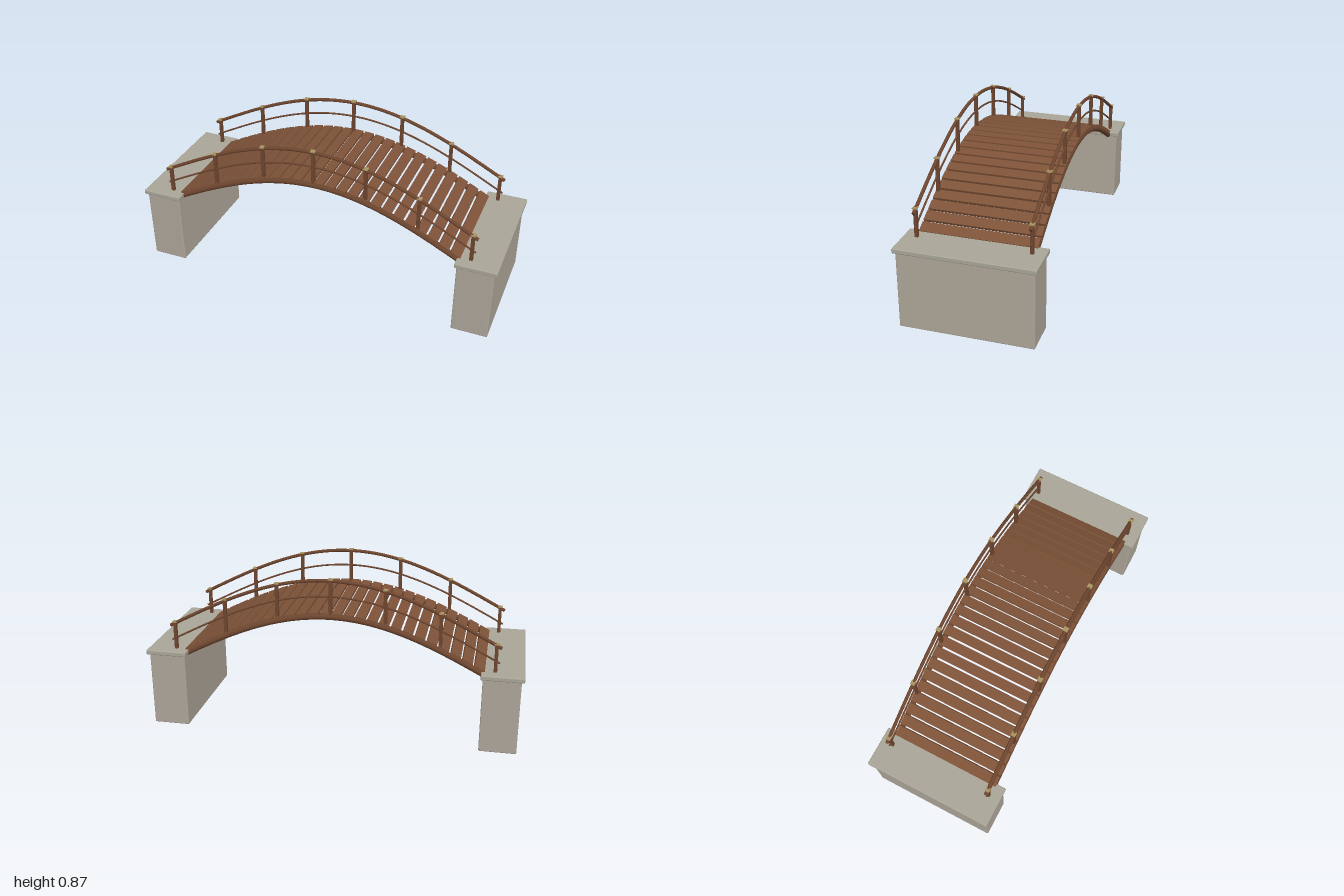
import * as THREE from 'three';
import { RoundedBoxGeometry } from 'three/addons/geometries/RoundedBoxGeometry.js';

const SPAN = 0.85, RISE = 0.287, SIDE_Z = 0.288;

// Height of the bridge curve above its base, and its tilt, at x
const arch = (x) => RISE * Math.cos((Math.PI / 2) * (x / SPAN));
const tilt = (x) => Math.atan(-RISE * (Math.PI / 2 / SPAN) * Math.sin((Math.PI / 2) * (x / SPAN)));

function material(name, color) {
  const m = new THREE.MeshStandardMaterial({ color });
  m.name = name;
  return m;
}

function add(parent, name, geometry, mat, x = 0, y = 0, z = 0, rz = 0) {
  const mesh = new THREE.Mesh(geometry, mat);
  mesh.name = name;
  mesh.position.set(x, y, z);
  mesh.rotation.z = rz;
  parent.add(mesh);
  return mesh;
}

// Round bar that follows the arch, closed with a disc at both ends
function archBar(parent, name, mat, base, half, radius, z) {
  const group = new THREE.Group();
  group.name = name;
  const points = [];
  for (let i = 0; i <= 24; i++) {
    const x = -half + (2 * half * i) / 24;
    points.push(new THREE.Vector3(x, base + arch(x), z));
  }
  const curve = new THREE.CatmullRomCurve3(points);
  add(group, name + 'Bar', new THREE.TubeGeometry(curve, 64, radius, 12), mat);
  for (const s of [-1, 1]) {
    const end = add(group, name + 'End', new THREE.CircleGeometry(radius, 12), mat, s * half, base + arch(half), z);
    end.quaternion.setFromUnitVectors(new THREE.Vector3(0, 0, 1), curve.getTangent(s < 0 ? 0 : 1).multiplyScalar(s));
  }
  parent.add(group);
}

export function createModel() {
  const model = new THREE.Group();
  model.name = 'archedFootbridge';
  const stone = material('stone', 0xada598);
  const capStone = material('capStone', 0xa9a597);
  const plankWood = material('plankWood', 0x7d5238);
  const frameWood = material('frameWood', 0x6d452e);
  const brass = material('brass', 0xa8935f);

  // Stone abutments with overhanging caps
  for (const s of [-1, 1]) {
    add(model, 'pier', new RoundedBoxGeometry(0.195, 0.41, 0.684, 2, 0.006), stone, s * 0.8875, 0.205, 0);
    add(model, 'pierCap', new RoundedBoxGeometry(0.22, 0.025, 0.708, 2, 0.005), capStone, s * 0.89, 0.4185, 0);
  }

  // Deck planks, each tilted to follow the curve
  const deck = new THREE.Group();
  deck.name = 'deck';
  model.add(deck);
  const plank = new THREE.BoxGeometry(0.051, 0.015, 0.6);
  const count = 26, pitch = 1.6 / count;
  for (let i = 0; i < count; i++) {
    const x = (i - (count - 1) / 2) * pitch;
    const a = tilt(x);
    // Planks lengthen with the slope so that the gaps stay even from above
    const mesh = add(deck, 'plank', plank, plankWood, x, 0.38 + arch(x) + 0.016 / Math.cos(a), 0, a);
    mesh.scale.x = 1 / Math.cos(a);
  }

  // Stringers and railings on both sides
  const post = new RoundedBoxGeometry(0.018, 1, 0.018, 1, 0.002);
  const postCap = new THREE.BoxGeometry(0.025, 0.006, 0.025);
  for (const s of [-1, 1]) {
    const z = s * SIDE_Z;
    archBar(model, 'stringer', frameWood, 0.38, 0.805, 0.0155, z);
    const railing = new THREE.Group();
    railing.name = s > 0 ? 'frontRailing' : 'backRailing';
    model.add(railing);
    archBar(railing, 'handrail', frameWood, 0.574, 0.875, 0.009, z);
    archBar(railing, 'midRail', frameWood, 0.49, 0.87, 0.005, z);
    for (let i = -3; i <= 3; i++) {
      const x = (i * SPAN) / 3;
      const bottom = Math.abs(i) === 3 ? 0.425 : 0.38 + arch(x);
      const top = 0.58 + arch(x);
      add(railing, 'post', post, frameWood, x, (bottom + top) / 2, z).scale.y = top - bottom;
      add(railing, 'postCap', postCap, brass, x, top + 0.002, z);
    }
  }
  return model;
}
